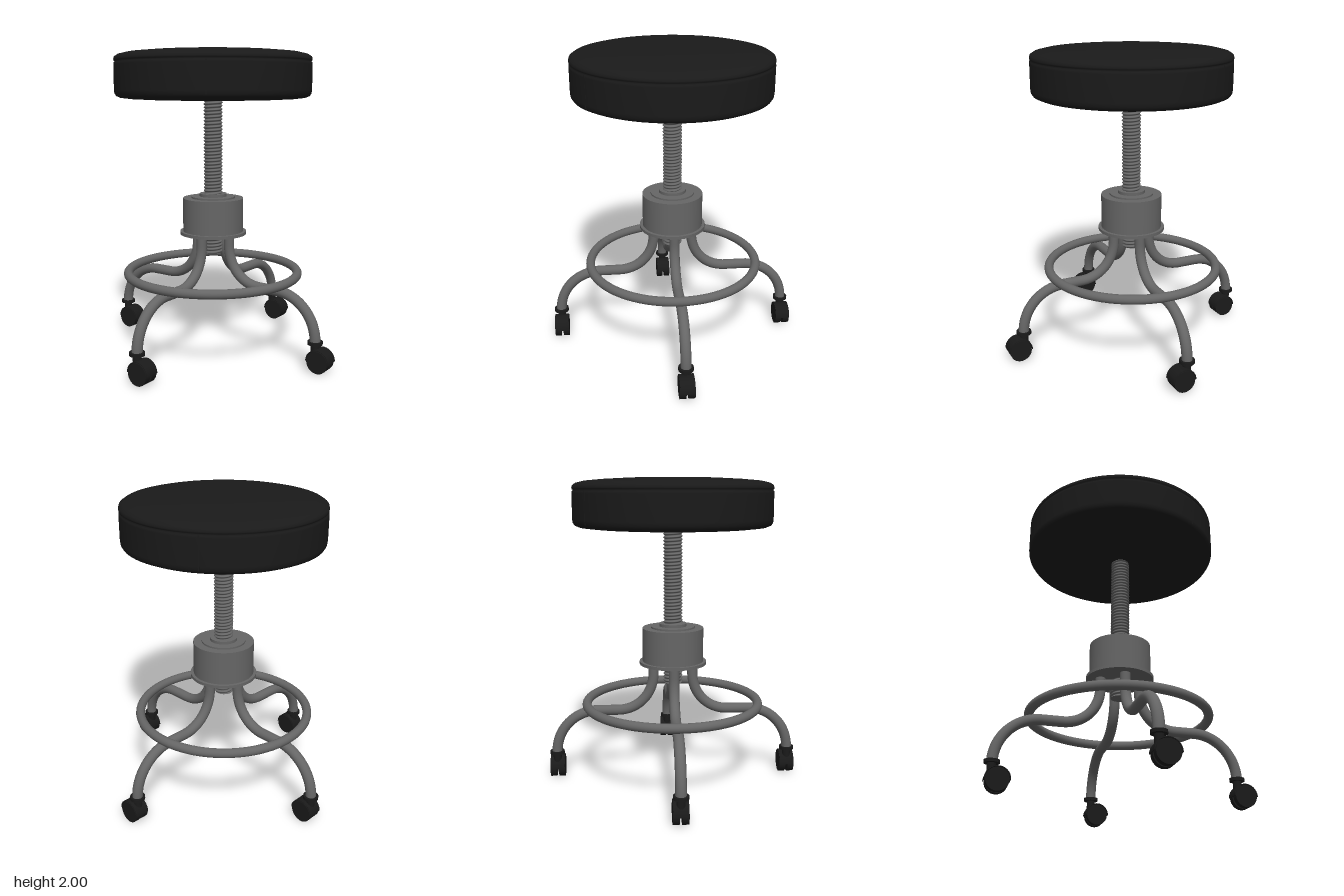
import * as THREE from 'three';

const metal = new THREE.MeshStandardMaterial({ color: 0x666666 });
const black = new THREE.MeshStandardMaterial({ color: 0x1a1a1a });
const AXIS_X = -0.04, AXIS_Z = -0.004, LEG_REACH = 0.782;

function add(parent, name, geometry, material, x = 0, y = 0, z = 0) {
  const mesh = new THREE.Mesh(geometry, material);
  mesh.name = name;
  mesh.position.set(x, y, z);
  parent.add(mesh);
  return mesh;
}

// Cylinder standing between two heights
function disc(parent, name, radius, y0, y1, material) {
  return add(parent, name, new THREE.CylinderGeometry(radius, radius, y1 - y0, 48), material, 0, (y0 + y1) / 2, 0);
}

// Round cushion with a seam groove below its domed top
function makeSeat() {
  const seat = new THREE.Group();
  seat.name = 'seat';
  const profile = [
    [0, 1.675], [0.4, 1.676], [0.53, 1.682], [0.6, 1.69], [0.628, 1.702], [0.638, 1.718], [0.641, 1.74],
    [0.641, 1.9], [0.64, 1.914], [0.632, 1.92], [0.64, 1.926], [0.641, 1.935],
    [0.637, 1.95], [0.615, 1.965], [0.56, 1.978], [0.45, 1.988], [0.3, 1.996], [0.15, 1.999], [0, 2],
  ].map(([r, y]) => new THREE.Vector2(r, y));
  add(seat, 'cushion', new THREE.LatheGeometry(profile, 80), black);
  // Upright stitched seams on opposite sides
  for (const angle of [1.01, 1.01 + Math.PI]) {
    const seam = add(seat, 'sideSeam', new THREE.BoxGeometry(0.004, 0.2, 0.006), black,
      0.64 * Math.cos(angle), 1.815, 0.64 * Math.sin(angle));
    seam.rotation.y = -angle;
  }
  return seat;
}

// Screw: cylinder whose radius follows a helical triangle wave
function threadedScrew() {
  const height = 1.03, pitch = 0.022, turns = Math.round(height / pitch);
  const geometry = new THREE.CylinderGeometry(0.06, 0.06, height, 24, turns * 6);
  const p = geometry.attributes.position;
  for (let i = 0; i < p.count; i++) {
    const x = p.getX(i), z = p.getZ(i);
    if (Math.hypot(x, z) < 0.01) continue;
    const phase = p.getY(i) / pitch + Math.atan2(z, x) / (2 * Math.PI) + 200;
    const r = 0.053 + 0.022 * Math.abs((phase % 1) - 0.5);
    const a = Math.atan2(z, x);
    p.setX(i, r * Math.cos(a));
    p.setZ(i, r * Math.sin(a));
  }
  geometry.computeVertexNormals();
  return geometry;
}

// S-shaped leg: down, out, then down again to the caster
function legGeometry() {
  const v = (x, y) => new THREE.Vector3(x, y, 0);
  const path = new THREE.CurvePath();
  path.add(new THREE.LineCurve3(v(0.13, 0.81), v(0.13, 0.72)));
  path.add(new THREE.CubicBezierCurve3(v(0.13, 0.72), v(0.13, 0.58), v(0.23, 0.47), v(0.37, 0.47)));
  path.add(new THREE.LineCurve3(v(0.37, 0.47), v(0.5, 0.47)));
  path.add(new THREE.CubicBezierCurve3(v(0.5, 0.47), v(0.655, 0.47), v(LEG_REACH, 0.345), v(LEG_REACH, 0.18)));
  return new THREE.TubeGeometry(path, 64, 0.034, 16);
}

// Twin-wheel caster, trailing toward +x from its stem
function makeCaster() {
  const caster = new THREE.Group();
  caster.name = 'caster';
  disc(caster, 'collar', 0.048, 0.172, 0.192, black);
  disc(caster, 'stem', 0.027, 0.1, 0.175, black);
  const trail = 0.037, axleY = 0.071;
  for (const side of [-1, 1]) {
    const wheel = add(caster, 'wheel', new THREE.CylinderGeometry(0.071, 0.071, 0.04, 32), black, trail, axleY, side * 0.028);
    wheel.rotation.x = Math.PI / 2;
  }
  const axle = add(caster, 'axle', new THREE.CylinderGeometry(0.03, 0.03, 0.08, 16), black, trail, axleY, 0);
  axle.rotation.x = Math.PI / 2;
  // Thin half-round hood over the wheels
  const arch = new THREE.Shape();
  arch.absarc(0, 0, 0.079, 0, Math.PI, false);
  arch.absarc(0, 0, 0.0745, Math.PI, 0, true);
  const hood = new THREE.ExtrudeGeometry(arch, { depth: 0.094, bevelEnabled: false, curveSegments: 24 });
  add(caster, 'hood', hood, black, trail, axleY, -0.047);
  // Web between the two wheels carries the hood
  const half = new THREE.Shape();
  half.absarc(0, 0, 0.077, 0, Math.PI, false);
  const web = new THREE.ExtrudeGeometry(half, { depth: 0.012, bevelEnabled: false, curveSegments: 24 });
  add(caster, 'web', web, black, trail, axleY, -0.006);
  return caster;
}

export function createModel() {
  const stool = new THREE.Group();
  stool.name = 'stool';
  stool.position.set(AXIS_X, 0, AXIS_Z);
  stool.add(makeSeat());
  add(stool, 'screw', threadedScrew(), metal, 0, 1.175, 0);

  // Hub with bottom flange and stepped top collars
  const hub = new THREE.Group();
  hub.name = 'hub';
  disc(hub, 'hubBody', 0.201, 0.795, 1.03, metal);
  disc(hub, 'flange', 0.221, 0.787, 0.807, metal);
  disc(hub, 'topPlate', 0.145, 1.03, 1.041, metal);
  disc(hub, 'topCollar', 0.09, 1.04, 1.06, metal);
  stool.add(hub);

  // Foot ring resting on the legs
  const ring = add(stool, 'footRing', new THREE.TorusGeometry(0.57, 0.03, 16, 80), metal, -0.006, 0.525, -0.004);
  ring.rotation.x = Math.PI / 2;

  // Four legs; every caster points the same way
  const leg = legGeometry();
  for (let i = 0; i < 4; i++) {
    const angle = i * Math.PI / 2;
    add(stool, 'leg', leg, metal).rotation.y = -angle;
    const caster = makeCaster();
    caster.position.set(LEG_REACH * Math.cos(angle), 0, LEG_REACH * Math.sin(angle));
    stool.add(caster);
  }

  const model = new THREE.Group();
  model.name = 'swivelStool';
  model.add(stool);
  return model;
}
